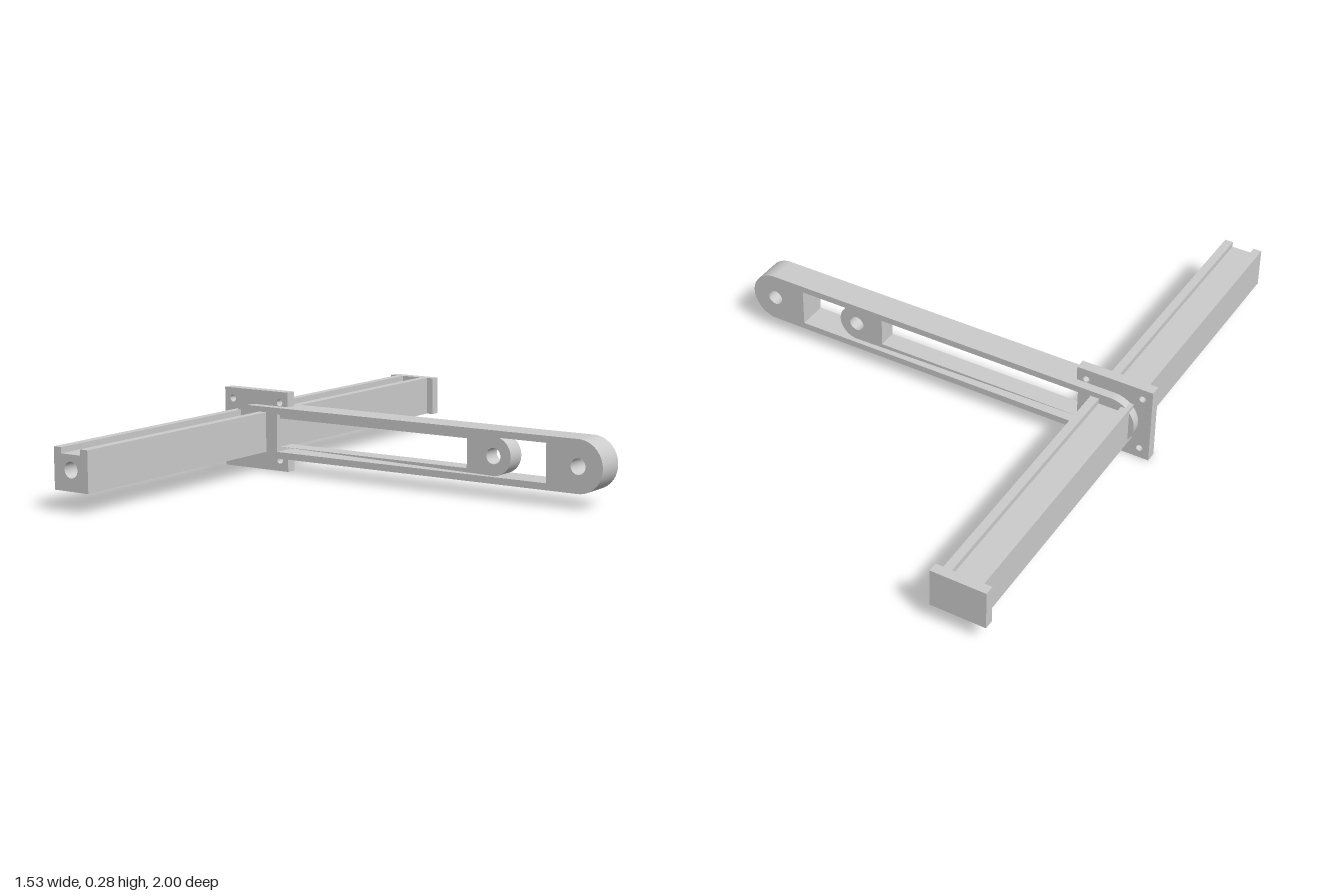
import * as THREE from 'three';

const CY = 0.14;      // height of the shared centre line
const BAR_X = -0.632; // centre of the long bar
const material = new THREE.MeshStandardMaterial({ color: 0xcccccc });

function circle(x, y, r) {
  return new THREE.Path().absarc(x, y, r, 0, Math.PI * 2, true);
}

function polygon(points, Type = THREE.Shape) {
  return new Type(points.map(([x, y]) => new THREE.Vector2(x, y)));
}

function rect(x0, y0, x1, y1, Type) {
  return polygon([[x0, y0], [x1, y0], [x1, y1], [x0, y1]], Type);
}

// Extrudes a front outline from z0 to z1
function slab(name, shape, z0, z1) {
  const geometry = new THREE.ExtrudeGeometry(shape, {
    depth: z1 - z0, bevelEnabled: false, curveSegments: 32,
  });
  geometry.translate(0, 0, z0);
  const mesh = new THREE.Mesh(geometry, material);
  mesh.name = name;
  return mesh;
}

export function createModel() {
  const group = new THREE.Group();
  group.name = 'slidingArmAssembly';

  // Long square bar with a shallow channel along its top
  const h = 0.07, c = 0.04, top = CY + h, floor = top - 0.02;
  const barShape = () => polygon([
    [BAR_X - h, CY - h], [BAR_X + h, CY - h], [BAR_X + h, top], [BAR_X + c, top],
    [BAR_X + c, floor], [BAR_X - c, floor], [BAR_X - c, top], [BAR_X - h, top],
  ]);
  const drilled = barShape();
  drilled.holes.push(circle(BAR_X, CY, 0.027));
  group.add(slab('barDrilledEnd', drilled, 0.8, 1));
  group.add(slab('bar', barShape(), -0.965, 0.8));

  // Wider end cap at the back of the bar
  group.add(slab('endCap', rect(BAR_X - 0.097, CY - h, BAR_X + 0.097, top), -1, -0.965));

  // Arm with rounded ends, a long slot and a pivot hole
  const R = 0.089, slotLeft = -0.515, slotHalf = 0.066;
  const arm = new THREE.Shape();
  arm.absarc(0.677, CY, R, -Math.PI / 2, Math.PI / 2, false);
  arm.absarc(-0.633, CY, R, Math.PI / 2, Math.PI * 1.5, false);
  arm.closePath();
  arm.holes.push(
    rect(slotLeft, CY - slotHalf, 0.56, CY + slotHalf, THREE.Path),
    circle(0.677, CY, 0.027),
  );
  group.add(slab('arm', arm, -0.032, 0.072));

  // Slider: two rails joined by a rounded eye, set back from both arm faces
  const railHalf = 0.05;
  const slider = new THREE.Shape();
  slider.moveTo(slotLeft, CY - slotHalf);
  slider.absarc(0.352, CY, slotHalf, -Math.PI / 2, Math.PI / 2, false);
  slider.lineTo(slotLeft, CY + slotHalf);
  slider.lineTo(slotLeft, CY + railHalf);
  slider.lineTo(0.25, CY + railHalf);
  slider.lineTo(0.25, CY - railHalf);
  slider.lineTo(slotLeft, CY - railHalf);
  slider.closePath();
  slider.holes.push(circle(0.352, CY, 0.027));
  group.add(slab('slider', slider, -0.014, 0.054));

  // Square mounting plate, notched where the arm slot passes, with corner holes
  const p = 0.137, px = -0.63;
  const plate = polygon([
    [px - p, CY - 0.14], [px + p, CY - 0.14], [px + p, CY - slotHalf],
    [slotLeft, CY - slotHalf], [slotLeft, CY + slotHalf],
    [px + p, CY + slotHalf], [px + p, CY + 0.14], [px - p, CY + 0.14],
  ]);
  for (const sx of [-1, 1]) {
    for (const sy of [-1, 1]) {
      plate.holes.push(circle(px + sx * 0.102, CY + sy * 0.102, 0.012));
    }
  }
  group.add(slab('mountingPlate', plate, 0, 0.038));

  return group;
}
